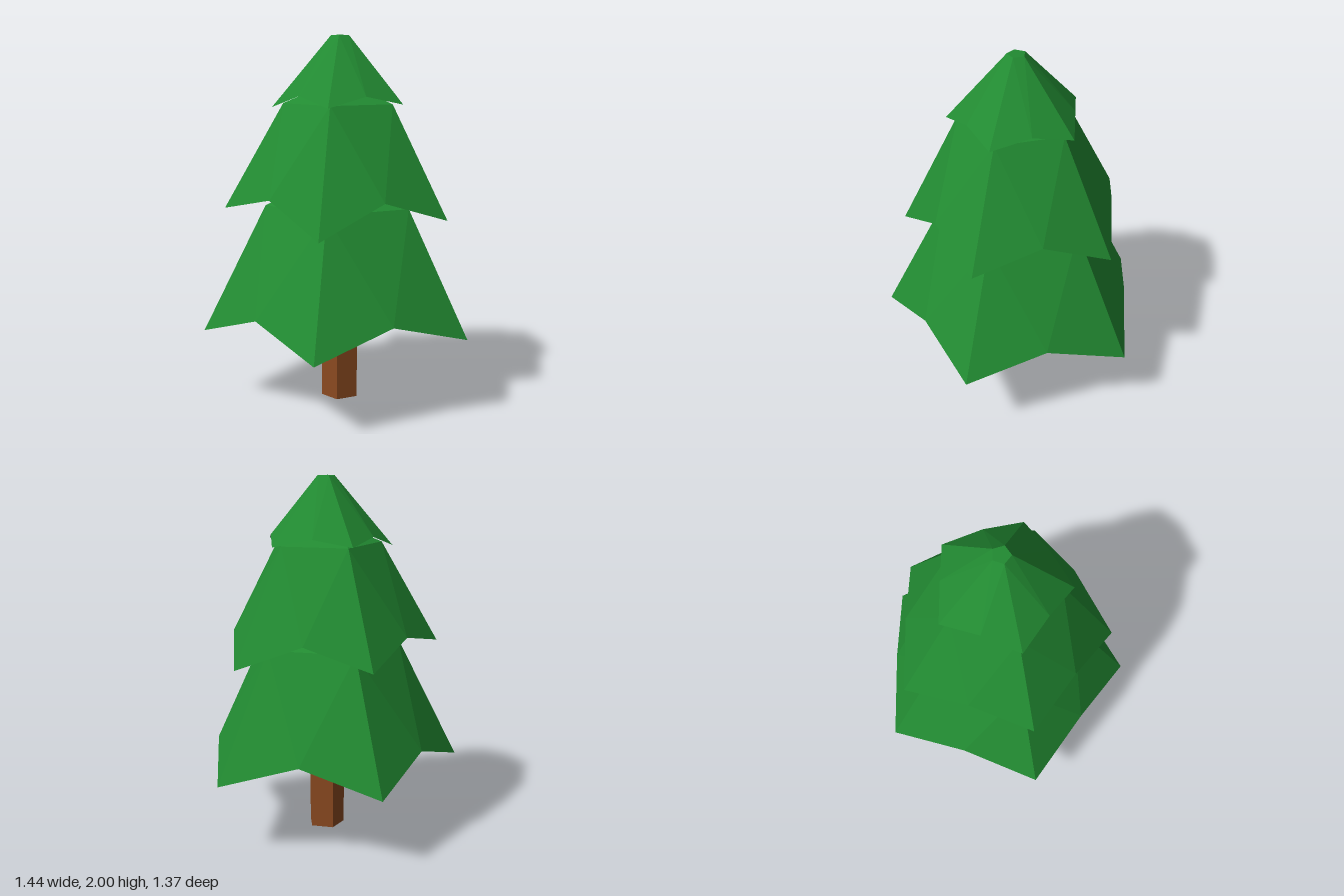
import * as THREE from 'three';

const SIDES = 5;
const AXIS_Z = 0.072; // the pentagons' shared axis, offset so the tree is centred

// Point k of a pentagon ring; k = 0 points to the back, k = 1 to +x
function ringPoint(k, radius, y) {
  const a = (k / SIDES) * Math.PI * 2;
  return new THREE.Vector3(radius * Math.sin(a), y, AXIS_Z - radius * Math.cos(a));
}

// One tier of branches: drooping corners, raised rim midpoints, cap and hollow underside
function tierGeometry({ rim, corners, mid, ring, ringY, capY, underY }) {
  const pos = [];
  const tri = (...points) => points.forEach((p) => pos.push(p.x, p.y, p.z));
  const cap = new THREE.Vector3(0, capY, AXIS_Z);
  const under = new THREE.Vector3(0, underY, AXIS_Z);

  for (let k = 0; k < SIDES; k++) {
    const n = (k + 1) % SIDES;
    const a = ringPoint(k, ring, ringY);
    const b = ringPoint(n, ring, ringY);
    const c = ringPoint(k, rim, corners[k]);
    const d = ringPoint(n, rim, corners[n]);
    const m = c.clone().add(d).multiplyScalar(0.5).setY(mid);
    // outer slope
    tri(a, b, m);
    tri(a, m, c);
    tri(b, d, m);
    // cap
    tri(a, cap, b);
    // underside
    tri(under, c, m);
    tri(under, m, d);
  }
  const geo = new THREE.BufferGeometry();
  geo.setAttribute('position', new THREE.Float32BufferAttribute(pos, 3));
  geo.computeVertexNormals();
  return geo;
}

export function createModel() {
  const tree = new THREE.Group();
  tree.name = 'tree';
  const green = new THREE.MeshStandardMaterial({ color: 0x228b32, flatShading: true });
  const brown = new THREE.MeshStandardMaterial({ color: 0x8b4a20, flatShading: true });

  // trunk: five-sided post with a flat side to the front
  const trunk = new THREE.Mesh(new THREE.CylinderGeometry(0.105, 0.105, 0.76, SIDES), brown);
  trunk.name = 'trunk';
  trunk.rotation.y = Math.PI;
  trunk.position.set(0, 0.38, AXIS_Z);
  tree.add(trunk);

  // foliage tiers; corner heights run back, left, front left, front right, right
  const tiers = {
    lowerBranches: {
      rim: 0.755, corners: [0.4, 0.4, 0.42, 0.4, 0.4], mid: 0.54,
      ring: 0.41, ringY: 1.09, capY: 1.28, underY: 0.73,
    },
    middleBranches: {
      rim: 0.63, corners: [1.04, 1.015, 1.045, 0.99, 1.08], mid: 1.16,
      ring: 0.31, ringY: 1.64, capY: 1.77, underY: 1.3,
    },
    topBranches: {
      rim: 0.37, corners: [1.65, 1.64, 1.64, 1.63, 1.62], mid: 1.685,
      ring: 0.05, ringY: 2, capY: 2, underY: 1.78,
    },
  };
  for (const [name, spec] of Object.entries(tiers)) {
    const tier = new THREE.Mesh(tierGeometry(spec), green);
    tier.name = name;
    tree.add(tier);
  }
  return tree;
}
